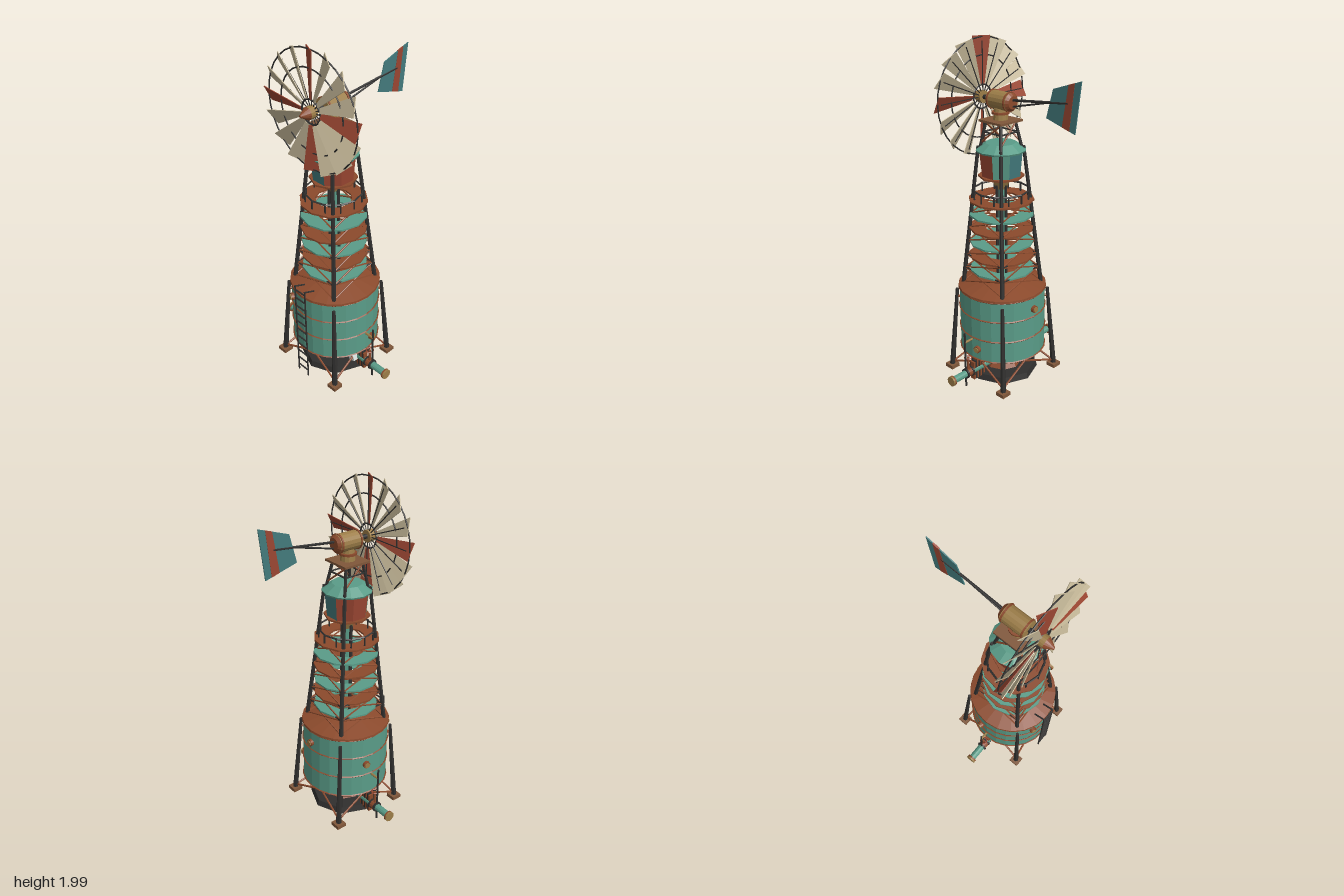
import * as THREE from 'three';

const C = { teal: 0x5a9c88, brown: 0x8b4a2c, dark: 0x302f2e, gold: 0x9c7d48, cream: 0xc6b999,
  red: 0x9a4632, blue: 0x437a7c, foot: 0x80573a, white: 0xd5dcda };
const mats = {};
const mat = (c, double) => mats[c + !!double] ??= new THREE.MeshStandardMaterial({
  color: C[c], flatShading: true, side: double ? THREE.DoubleSide : THREE.FrontSide });
const V = (x, y, z) => new THREE.Vector3(x, y, z);

export function createModel() {
  const root = new THREE.Group();
  const tower = new THREE.Group(); // everything centred on the tower axis
  tower.name = 'tower';
  tower.position.z = 0.14;
  root.add(tower);

  const add = (parent, name, geo, color, pos = [0, 0, 0], double) => {
    const m = new THREE.Mesh(geo, mat(color, double));
    m.name = name;
    m.position.set(...pos);
    parent.add(m);
    return m;
  };
  const box = (p, name, w, h, d, color, pos) => add(p, name, new THREE.BoxGeometry(w, h, d), color, pos);
  const cyl = (p, name, rTop, rBot, y0, y1, color, sides = 16) =>
    add(p, name, new THREE.CylinderGeometry(rTop, rBot, y1 - y0, sides), color, [0, (y0 + y1) / 2, 0]);
  const rod = (p, name, a, b, r, color, sides = 6, r2 = r) => {
    const m = add(p, name, new THREE.CylinderGeometry(r2, r, a.distanceTo(b), sides), color);
    m.position.copy(a).add(b).multiplyScalar(0.5);
    m.quaternion.setFromUnitVectors(V(0, 1, 0), b.clone().sub(a).normalize());
    return m;
  };
  const hoop = (p, name, r, y, t, color, sides = 24) => {
    const m = add(p, name, new THREE.TorusGeometry(r, t, 4, sides), color, [0, y, 0]);
    m.rotation.x = Math.PI / 2;
    return m;
  };
  const corners = [[1, 1], [1, -1], [-1, -1], [-1, 1]];

  // Base slab and funnel under the tank
  cyl(tower, 'baseSlab', 0.2, 0.21, 0.015, 0.05, 'dark', 8);
  cyl(tower, 'baseHub', 0.09, 0.11, 0.05, 0.08, 'brown', 8);
  cyl(tower, 'funnel', 0.13, 0.07, 0.08, 0.19, 'brown', 12);

  // Tank with hoops and stepped roof
  cyl(tower, 'tank', 0.252, 0.252, 0.19, 0.58, 'teal', 24);
  cyl(tower, 'tankBottom', 0.245, 0.23, 0.175, 0.19, 'dark', 24);
  for (const y of [0.19, 0.325, 0.455, 0.578]) hoop(tower, 'tankHoop', 0.254, y, 0.005, 'brown');
  cyl(tower, 'roofEave', 0.258, 0.26, 0.58, 0.592, 'brown', 20);
  cyl(tower, 'roofCone', 0.11, 0.258, 0.592, 0.63, 'brown', 20);
  cyl(tower, 'roofCollar', 0.06, 0.07, 0.63, 0.65, 'brown', 12);

  // Gauges on the tank wall
  for (const [a, y] of [[-0.4, 0.515], [Math.PI, 0.505], [1.75, 0.26], [-1.75, 0.4]]) {
    const d = V(Math.sin(a), 0, Math.cos(a));
    rod(tower, 'gaugeRim', d.clone().multiplyScalar(0.245).setY(y), d.clone().multiplyScalar(0.268).setY(y), 0.021, 'brown', 12);
    rod(tower, 'gaugeFace', d.clone().multiplyScalar(0.26).setY(y), d.clone().multiplyScalar(0.274).setY(y), 0.016, 'gold', 12);
  }

  // Outer struts, feet and lower bracing
  corners.forEach(([sx, sz], i) => {
    const [nx, nz] = corners[(i + 1) % 4];
    box(tower, 'foot', 0.06, 0.022, 0.06, 'foot', [sx * 0.22, 0.024, sz * 0.22]);
    rod(tower, 'outerStrut', V(sx * 0.22, 0.03, sz * 0.22), V(sx * 0.188, 0.55, sz * 0.188), 0.017, 'dark', 6, 0.01);
    rod(tower, 'strutBracket', V(sx * 0.17, 0.5, sz * 0.17), V(sx * 0.195, 0.5, sz * 0.195), 0.008, 'brown');
    rod(tower, 'lowerBrace', V(sx * 0.215, 0.05, sz * 0.215), V(nx * 0.16, 0.185, nz * 0.16), 0.006, 'brown');
    rod(tower, 'lowerBrace', V(nx * 0.215, 0.05, nz * 0.215), V(sx * 0.16, 0.185, sz * 0.16), 0.006, 'brown');
    rod(tower, 'innerPost', V(sx * 0.13, 0.04, sz * 0.13), V(sx * 0.13, 0.19, sz * 0.13), 0.012, 'dark');
  });

  // Side pipes with flanges, valve block, ribbed panel and standpipe
  for (const s of [-1, 1]) {
    const side = new THREE.Group();
    side.name = s > 0 ? 'leftPipe' : 'rightPipe';
    tower.add(side);
    const along = (name, x0, x1, r, color) => rod(side, name, V(s * x0, 0.1, 0), V(s * x1, 0.1, 0), r, color, 12);
    along('pipe', 0.08, 0.42, 0.021, 'teal');
    along('endFlange', 0.405, 0.413, 0.03, 'brown');
    along('endCap', 0.414, 0.424, 0.03, 'gold');
    along('innerFlange', 0.262, 0.272, 0.031, 'dark');
    along('outerFlange', 0.302, 0.312, 0.031, 'dark');
    along('valveBody', 0.272, 0.302, 0.026, 'brown');
    for (let i = 0; i < 7; i++)
      box(side, 'panelRib', 0.011, 0.15 - i * 0.006, 0.03, i % 2 ? 'dark' : 'brown', [s * (0.175 + i * 0.0125), 0.115 - i * 0.003, 0]);
    const plate = box(side, 'valvePlate', 0.04, 0.045, 0.055, 'white', [s * 0.18, 0.1, 0.02]);
    plate.rotation.z = s * 0.4;
    rod(side, 'standpipe', V(s * 0.308, 0.015, 0), V(s * 0.308, 0.37, 0), 0.006, 'dark');
    rod(side, 'valveStem', V(s * 0.287, 0.1, 0), V(s * 0.287, 0.2, 0), 0.008, 'brown');
    rod(side, 'standpipeBracket', V(s * 0.24, 0.31, 0), V(s * 0.31, 0.31, 0), 0.007, 'gold');
    hoop(side, 'valveWheel', 0.02, 0.2, 0.004, 'red', 12).position.x = s * 0.287;
  }

  // Ladder on the front
  for (const s of [-1, 1]) {
    rod(tower, 'ladderRail', V(s * 0.04, 0.01, 0.267), V(s * 0.04, 0.645, 0.267), 0.005, 'dark');
    rod(tower, 'ladderHook', V(s * 0.04, 0.642, 0.267), V(s * 0.04, 0.615, 0.2), 0.005, 'dark');
  }
  for (let i = 0; i < 11; i++)
    rod(tower, 'ladderRung', V(-0.04, 0.05 + i * 0.057, 0.267), V(0.04, 0.05 + i * 0.057, 0.267), 0.005, 'dark');

  // Lattice: four legs, stacked ring decks and cross braces
  const legHalf = y => 0.16 - (y - 0.6) * 0.088;
  const levels = [0.6, 0.69, 0.775, 0.86, 0.945, 1.03, 1.115];
  corners.forEach(([sx, sz], i) => {
    const [nx, nz] = corners[(i + 1) % 4];
    const at = (x, z, y) => V(x * legHalf(y), y, z * legHalf(y));
    rod(tower, 'towerLeg', at(sx, sz, 0.59), at(sx, sz, 1.42), 0.013, 'dark', 6, 0.01);
    for (let k = 0; k < 6; k++) {
      rod(tower, 'crossBrace', at(sx, sz, levels[k]), at(nx, nz, levels[k + 1]), 0.0045, 'brown', 5);
      rod(tower, 'crossBrace', at(nx, nz, levels[k]), at(sx, sz, levels[k + 1]), 0.0045, 'brown', 5);
      rod(tower, 'girt', at(sx, sz, levels[k + 1]), at(nx, nz, levels[k + 1]), 0.005, 'dark', 5);
    }
    rod(tower, 'headLeg', V(sx * 0.083, 1.4, sz * 0.083), V(sx * 0.055, 1.565, sz * 0.055), 0.009, 'dark');
    rod(tower, 'headBrace', V(sx * 0.078, 1.44, sz * 0.078), V(nx * 0.056, 1.55, nz * 0.056), 0.005, 'brown');
    rod(tower, 'headGirt', V(sx * 0.066, 1.5, sz * 0.066), V(nx * 0.066, 1.5, nz * 0.066), 0.005, 'dark');
  });
  levels.slice(1).forEach((y, k) => {
    const profile = [[0.1, -0.005], [0.186, -0.005], [0.186, 0.005], [0.1, 0.005], [0.1, -0.005]];
    const deck = add(tower, 'ringDeck', new THREE.LatheGeometry(profile.map(p => new THREE.Vector2(...p)), 12),
      k % 2 ? 'brown' : 'teal', [0, y, 0], true);
    deck.rotation.y = k * 0.13;
  });

  // Railing on the top deck
  hoop(tower, 'railing', 0.156, 1.17, 0.006, 'dark', 12);
  for (let i = 0; i < 12; i++) {
    const a = i * Math.PI / 6, x = 0.156 * Math.cos(a), z = 0.156 * Math.sin(a);
    rod(tower, 'railPost', V(x, 1.11, z), V(x, 1.175, z), 0.005, 'dark');
  }

  // Central riser and side pipes
  cyl(tower, 'riser', 0.027, 0.027, 0.64, 1.2, 'teal', 10);
  for (const [x, z] of [[0.035, 0], [-0.035, 0], [0, 0.035], [0, -0.035]])
    rod(tower, 'riserPipe', V(x, 0.64, z), V(x, 1.2, z), 0.008, 'dark');
  cyl(tower, 'riserFunnel', 0.06, 0.03, 1.175, 1.245, 'gold', 8);

  // Cabin of coloured panels with cone roof
  cyl(tower, 'cabinFloor', 0.13, 0.13, 1.247, 1.257, 'brown', 8);
  cyl(tower, 'cabinCore', 0.085, 0.075, 1.257, 1.4, 'dark', 8);
  const panelColors = ['blue', 'red', 'red', 'teal'];
  for (let i = 0; i < 8; i++)
    add(tower, 'cabinPanel', new THREE.CylinderGeometry(0.128, 0.113, 0.15, 1, 1, true, (i - 0.5) * Math.PI / 4, Math.PI / 4),
      panelColors[i % 4], [0, 1.33, 0], true);
  cyl(tower, 'cabinEave', 0.142, 0.138, 1.395, 1.405, 'teal', 12);
  cyl(tower, 'cabinRoof', 0.085, 0.142, 1.405, 1.442, 'teal', 12);

  // Head platform, pedestal and gearbox
  box(tower, 'headPlatform', 0.17, 0.012, 0.17, 'foot', [0, 1.563, 0]);
  cyl(tower, 'pedestal', 0.036, 0.042, 1.569, 1.63, 'gold', 12);
  cyl(tower, 'pedestalCollar', 0.05, 0.05, 1.6, 1.612, 'brown', 12);
  const HY = 1.672;
  const axial = (name, z0, z1, r, color, r2 = r) => rod(root, name, V(0, HY, z0), V(0, HY, z1), r, color, 16, r2);
  axial('gearbox', 0.06, 0.205, 0.05, 'gold');
  axial('gearboxBand', 0.19, 0.199, 0.054, 'brown');
  axial('gearboxBand', 0.065, 0.075, 0.054, 'brown');
  axial('gearboxCap', 0.045, 0.06, 0.035, 'brown', 0.05);
  axial('shaft', 0.2, 0.29, 0.013, 'dark');
  axial('hub', 0.265, 0.305, 0.034, 'gold');
  axial('noseCone', 0.305, 0.352, 0.034, 'brown', 0.006);

  // Wheel: sixteen pitched blades, spokes and hoops
  const wheel = new THREE.Group();
  wheel.name = 'wheel';
  wheel.position.set(0, HY, 0.28);
  root.add(wheel);
  const bladeShape = new THREE.Shape([[0.07, -0.014], [0.326, -0.05], [0.326, 0.05], [0.07, 0.014]].map(p => new THREE.Vector2(...p)));
  const bladeGeo = new THREE.ExtrudeGeometry(bladeShape, { depth: 0.004, bevelEnabled: false });
  for (let i = 0; i < 16; i++) {
    const arm = new THREE.Group();
    arm.name = 'bladeArm';
    arm.rotation.z = i * Math.PI / 8;
    wheel.add(arm);
    add(arm, 'blade', bladeGeo, i % 4 ? 'cream' : 'red').rotation.x = -0.48;
    rod(arm, 'spoke', V(0.02, 0, -0.004), V(0.3, 0, -0.006), 0.003, 'dark', 5);
  }
  for (const [r, t] of [[0.32, 0.004], [0.225, 0.004], [0.066, 0.005]])
    add(wheel, 'wheelHoop', new THREE.TorusGeometry(r, t, 5, 32), 'dark');

  // Tail boom and vane
  rod(root, 'tailBoom', V(0, 1.685, 0.05), V(0, 1.725, -0.33), 0.007, 'dark');
  rod(root, 'tailStay', V(0, 1.65, 0.05), V(0, 1.71, -0.2), 0.005, 'dark');
  const vane = (name, pts, t, color) => {
    const geo = new THREE.ExtrudeGeometry(new THREE.Shape(pts.map(([z, y]) => new THREE.Vector2(-z, y))), { depth: t, bevelEnabled: false });
    add(root, name, geo, color, [-t / 2, 0, 0]).rotation.y = Math.PI / 2;
  };
  vane('tailVane', [[-0.19, 1.63], [-0.38, 1.577], [-0.412, 1.845], [-0.233, 1.785]], 0.006, 'blue');
  vane('vaneStripe', [[-0.296, 1.601], [-0.344, 1.587], [-0.372, 1.832], [-0.333, 1.819]], 0.009, 'red');

  return root;
}
